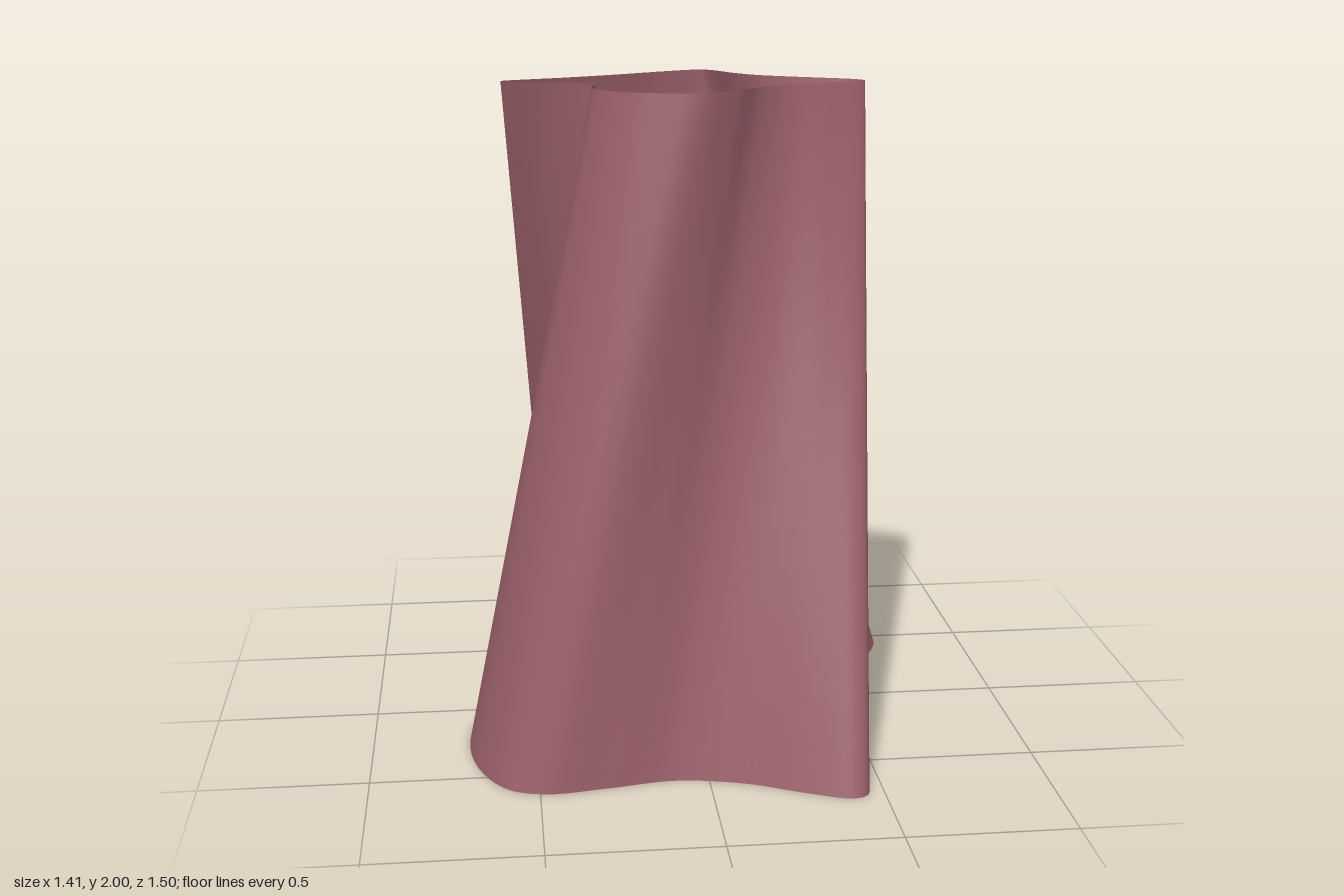
import * as THREE from 'three';

const HEIGHT = 2;
const STEPS = 8; // samples between neighbouring outline points
const ROWS = 16;

// Matching points of the base and rim outlines: base x, base z, rim x, rim z
const OUTLINE = [
  [-0.42, -0.71, -0.56, -0.03], [-0.40, -0.75, -0.55, -0.05],
  [-0.32, -0.74, -0.48, -0.085], [-0.12, -0.665, -0.36, -0.14],
  [0.08, -0.60, -0.20, -0.23], [0.30, -0.56, -0.08, -0.31],
  [0.52, -0.53, 0.00, -0.36], [0.65, -0.505, 0.05, -0.385],
  [0.70, -0.46, 0.085, -0.39], [0.69, -0.40, 0.115, -0.36],
  [0.60, -0.22, 0.17, -0.25], [0.50, 0.00, 0.23, -0.17],
  [0.43, 0.14, 0.29, -0.125], [0.41, 0.42, 0.42, -0.05],
  [0.455, 0.62, 0.50, 0.00], [0.46, 0.69, 0.525, 0.035],
  [0.445, 0.735, 0.525, 0.055], [0.40, 0.75, 0.50, 0.075],
  [0.28, 0.705, 0.40, 0.12], [0.10, 0.62, 0.27, 0.17],
  [-0.10, 0.58, 0.18, 0.24], [-0.30, 0.61, 0.11, 0.33],
  [-0.48, 0.63, 0.00, 0.405], [-0.59, 0.59, -0.10, 0.40],
  [-0.67, 0.46, -0.21, 0.355], [-0.705, 0.28, -0.29, 0.26],
  [-0.68, 0.10, -0.30, 0.18], [-0.57, -0.04, -0.285, 0.10],
  [-0.41, -0.14, -0.30, 0.07], [-0.34, -0.25, -0.35, 0.04],
  [-0.37, -0.48, -0.45, 0.01], [-0.41, -0.65, -0.54, -0.02],
];

// Smooth closed loop through one half of the outline table
function loop(column, y) {
  const points = OUTLINE.map((p) => new THREE.Vector3(p[column], y, p[column + 1]));
  const curve = new THREE.CatmullRomCurve3(points, true, 'centripetal');
  const count = OUTLINE.length * STEPS;
  return Array.from({ length: count }, (_, i) => curve.getPoint(i / count));
}

// Straight-ruled surface between two loops with matching points
function loft(lower, upper) {
  const n = lower.length;
  const positions = [];
  const index = [];
  const v = new THREE.Vector3();
  for (let r = 0; r <= ROWS; r++) {
    for (let i = 0; i < n; i++) {
      v.lerpVectors(lower[i], upper[i], r / ROWS);
      positions.push(v.x, v.y, v.z);
      if (r === ROWS) continue;
      const a = r * n + i;
      const b = r * n + ((i + 1) % n);
      index.push(a, a + n, b, b, a + n, b + n);
    }
  }
  const geometry = new THREE.BufferGeometry();
  geometry.setAttribute('position', new THREE.Float32BufferAttribute(positions, 3));
  geometry.setIndex(index);
  geometry.computeVertexNormals();
  return geometry;
}

export function createModel() {
  const group = new THREE.Group();
  group.name = 'twistedVase';
  const material = new THREE.MeshStandardMaterial({ color: 0x9a5f69, side: THREE.DoubleSide });

  const base = loop(0, 0);
  const rim = loop(2, HEIGHT);

  // Thin twisted wall, open at the top
  const wall = new THREE.Mesh(loft(base, rim), material);
  wall.name = 'wall';

  // Flat floor closing the base
  const shape = new THREE.Shape(base.map((p) => new THREE.Vector2(p.x, p.z)));
  const floor = new THREE.Mesh(new THREE.ShapeGeometry(shape).rotateX(Math.PI / 2), material);
  floor.name = 'floor';

  group.add(wall, floor);
  return group;
}
